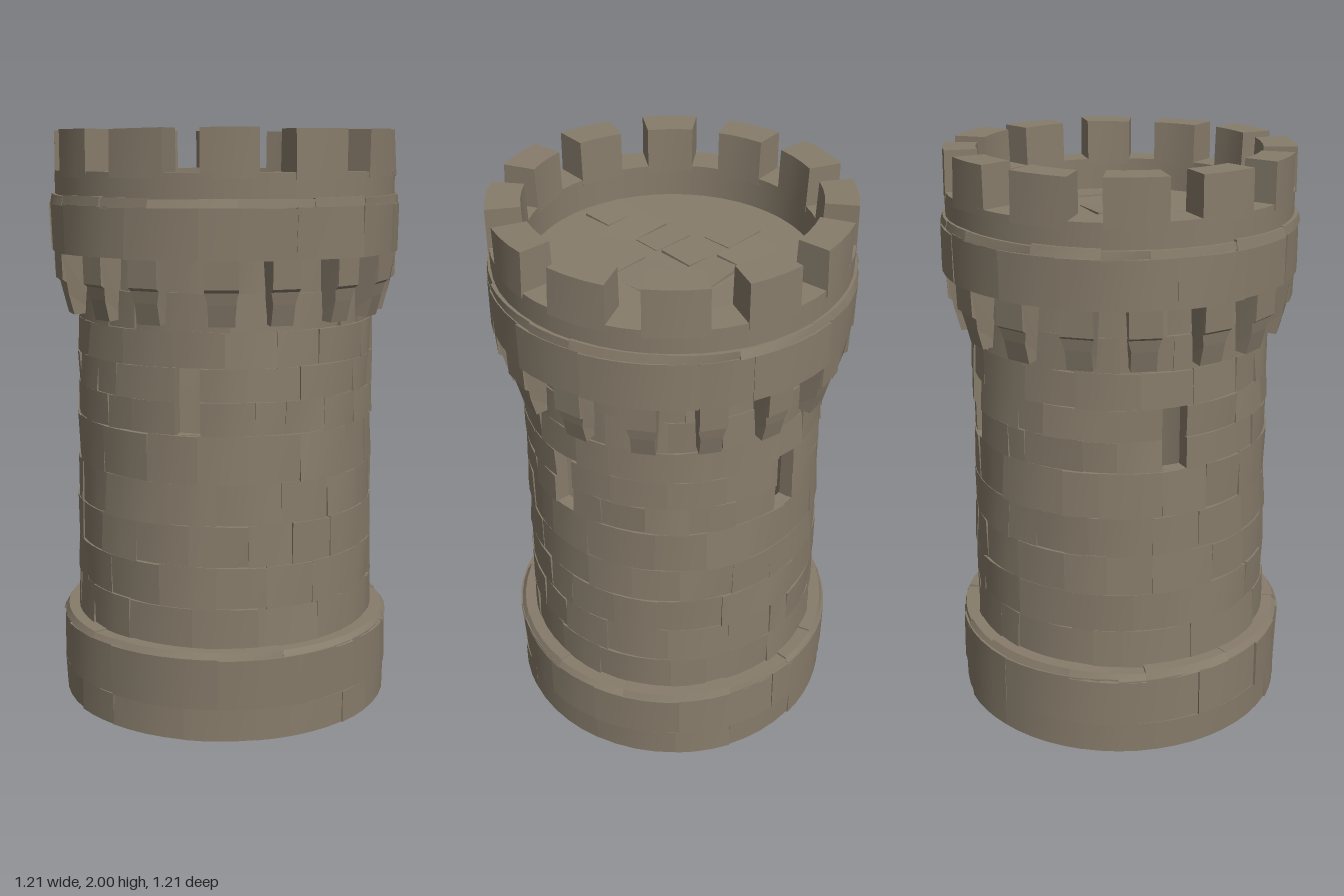
import * as THREE from 'three';
import { mergeGeometries, toCreasedNormals } from 'three/addons/utils/BufferGeometryUtils.js';

const TAU = Math.PI * 2, DEG = Math.PI / 180;

// small seeded random: returns -1..1
let seed = 11;
function rnd() {
  seed = (seed * 16807) % 2147483647;
  return (seed / 2147483647) * 2 - 1;
}

// Curved block between angles a0..a1 (0 = front, turning towards +x).
// ring = [outerBottom, outerTop, innerTop, innerBottom] as [radius, y];
// rough shifts the corners of each end so the stones sit unevenly.
function arcBlock(a0, a1, ring, rough = 0, roughY = rough) {
  const full = a1 - a0 > TAU - 0.001;
  const n = full ? 48 : Math.max(2, Math.ceil((a1 - a0) / (7.5 * DEG)));
  const jitter = () => [[rough * rnd(), roughY * rnd()], [rough * rnd(), roughY * rnd()]];
  const start = jitter(), end = jitter();
  const pos = [], idx = [];
  for (let i = 0; i <= n; i++) {
    const t = i / n, a = a0 + (a1 - a0) * t;
    ring.forEach(([r, y], j) => {
      const k = j === 0 || j === 3 ? 0 : 1;
      const dr = j < 2 ? start[k][0] * (1 - t) + end[k][0] * t : 0;
      const dy = start[k][1] * (1 - t) + end[k][1] * t;
      pos.push((r + dr) * Math.sin(a), y + dy, (r + dr) * Math.cos(a));
    });
  }
  for (let i = 0; i < n; i++) {
    for (let j = 0; j < 4; j++) {
      const A = i * 4 + j, D = i * 4 + (j + 1) % 4;
      idx.push(A, A + 4, D + 4, A, D + 4, D);
    }
  }
  if (!full) {
    const e = n * 4;
    idx.push(0, 1, 2, 0, 2, 3, e, e + 2, e + 1, e, e + 3, e + 2);
  }
  const g = new THREE.BufferGeometry();
  g.setAttribute('position', new THREE.Float32BufferAttribute(pos, 3));
  g.setIndex(idx);
  return toCreasedNormals(g, 0.4);
}

const section = (ri, ro, y0, y1, roTop = ro, riTop = ri) => [[ro, y0], [roTop, y1], [riTop, y1], [ri, y0]];

// One course of stones of uneven length between two angles
function course(list, a0, a1, count, ring, rough, roughY) {
  const step = (a1 - a0) / count;
  const cuts = [a0];
  for (let i = 1; i < count; i++) cuts.push(a0 + step * (i + 0.28 * rnd()));
  cuts.push(a1);
  for (let i = 0; i < count; i++) list.push(arcBlock(cuts[i], cuts[i + 1], ring, rough, roughY));
}

export function createModel() {
  const model = new THREE.Group();
  const stone = new THREE.MeshStandardMaterial({ color: 0x877c6b });
  stone.name = 'stone';
  const add = (name, list) => {
    const mesh = new THREE.Mesh(mergeGeometries(list), stone);
    mesh.name = name;
    model.add(mesh);
  };

  const slit = 4.7 * DEG;                       // half angle of a window slit
  const slitBottom = 1.02, slitTop = 1.24;

  // Smooth inner wall, left open at the four slits
  const core = [
    arcBlock(0, TAU, section(0.5, 0.56, 0, 0.28, 0.56, 0.49)),
    arcBlock(0, TAU, section(0.49, 0.508, 0.28, slitBottom, 0.505, 0.47)),
    arcBlock(0, TAU, section(0.47, 0.505, slitTop, 1.62)),
  ];
  for (let q = 0; q < 4; q++) {
    const a = q * TAU / 4;
    core.push(arcBlock(a + slit, a + TAU / 4 - slit, section(0.47, 0.505, slitBottom, slitTop)));
  }
  add('innerWall', core);

  // Base plinth: a low course and a tall course with a worn top edge
  const base = [];
  course(base, 0, TAU, 14, section(0.51, 0.585, 0, 0.11), 0.004, 0);
  course(base, 0.2, TAU + 0.2, 11, section(0.495, 0.588, 0.11, 0.285), 0.006, 0.004);
  course(base, 0.2, TAU + 0.2, 13, section(0.495, 0.588, 0.28, 0.305, 0.574), 0.005, 0.006);
  add('basePlinth', base);

  // Tower wall in courses
  const wall = [];
  const levels = [0.29, 0.44, 0.58, 0.72, 0.86, slitBottom, 1.13, slitTop, 1.36, 1.48, 1.6];
  const radius = (y) => 0.531 - 0.016 * (y - 0.3) / 1.1;
  for (let i = 0; i < levels.length - 1; i++) {
    const y0 = levels[i], y1 = levels[i + 1];
    const ring = section(0.496, radius(y0), y0, y1, radius(y1));
    if (y0 >= slitBottom && y1 <= slitTop) {
      for (let q = 0; q < 4; q++) {
        const a = q * TAU / 4;
        course(wall, a + slit, a + TAU / 4 - slit, 4 + (i % 2), ring, 0.006, 0.003);
      }
    } else {
      const shift = (i % 2) * 0.17 + 0.07 * rnd();
      course(wall, shift, shift + TAU, 17 + (i % 3), ring, 0.006, 0.004);
    }
  }
  add('towerWall', wall);

  // Brackets carrying the parapet
  const brackets = [];
  const outline = [[0.48, 1.385], [0.552, 1.38], [0.57, 1.45], [0.578, 1.49], [0.592, 1.5], [0.595, 1.6], [0.48, 1.6]];
  const profile = new THREE.Shape(outline.map(([x, y]) => new THREE.Vector2(x, y)));
  for (let i = 0; i < 16; i++) {
    const w = 0.1 + 0.012 * rnd();
    const g = new THREE.ExtrudeGeometry(profile, { depth: w, bevelEnabled: false });
    g.translate(0, 0, -w / 2);
    const p = g.attributes.position;            // narrower foot
    for (let k = 0; k < p.count; k++) if (p.getY(k) < 1.47) p.setZ(k, p.getZ(k) * 0.8);
    g.computeVertexNormals();
    g.rotateY((i + 0.5) * TAU / 16 + 0.03 * rnd());
    brackets.push(g);
  }
  add('brackets', brackets);

  // Parapet ring with its protruding stone band
  add('parapet', [arcBlock(0, TAU, section(0.475, 0.588, 1.59, 1.86))]);
  const band = [];
  course(band, 0.1, TAU + 0.1, 14, section(0.5, 0.603, 1.59, 1.752, 0.605), 0.005, 0.003);
  course(band, 0.3, TAU + 0.3, 16, section(0.5, 0.604, 1.75, 1.78, 0.598), 0.005, 0.004);
  add('parapetBand', band);

  // Twelve merlons around the top
  const merlons = [];
  for (let i = 0; i < 12; i++) {
    const a = (15 + 30 * i) * DEG, h = (9.4 + 0.5 * rnd()) * DEG;
    merlons.push(arcBlock(a - h, a + h, section(0.472, 0.59, 1.84, 1.995, 0.588, 0.478), 0.004));
  }
  add('merlons', merlons);

  // Roof floor
  const slab = new THREE.CylinderGeometry(0.485, 0.485, 0.1, 48);
  slab.translate(0, 1.7, 0);
  add('roofFloor', [slab.toNonIndexed()]);

  // Slightly tilted flagstones: x, z, width, depth
  const flags = [
    [0.08, -0.27, 0.22, 0.11], [-0.22, -0.14, 0.19, 0.12], [0, -0.14, 0.22, 0.12],
    [-0.27, -0.02, 0.16, 0.11], [-0.1, 0, 0.17, 0.13], [0.12, 0.0, 0.17, 0.14],
    [-0.09, 0.13, 0.15, 0.1], [0.12, 0.13, 0.15, 0.1], [-0.04, 0.25, 0.25, 0.12],
    [-0.14, -0.39, 0.18, 0.09], [0.39, 0, 0.1, 0.14], [-0.1, 0.38, 0.16, 0.11],
  ];
  add('flagstones', flags.map(([x, z, w, d]) => {
    const g = new THREE.BoxGeometry(w, 0.03, d);
    g.rotateX(0.07 * rnd());
    g.rotateZ(0.07 * rnd());
    g.rotateY(0.07 * rnd());
    g.translate(x, 1.739, z);
    return g;
  }));

  return model;
}
